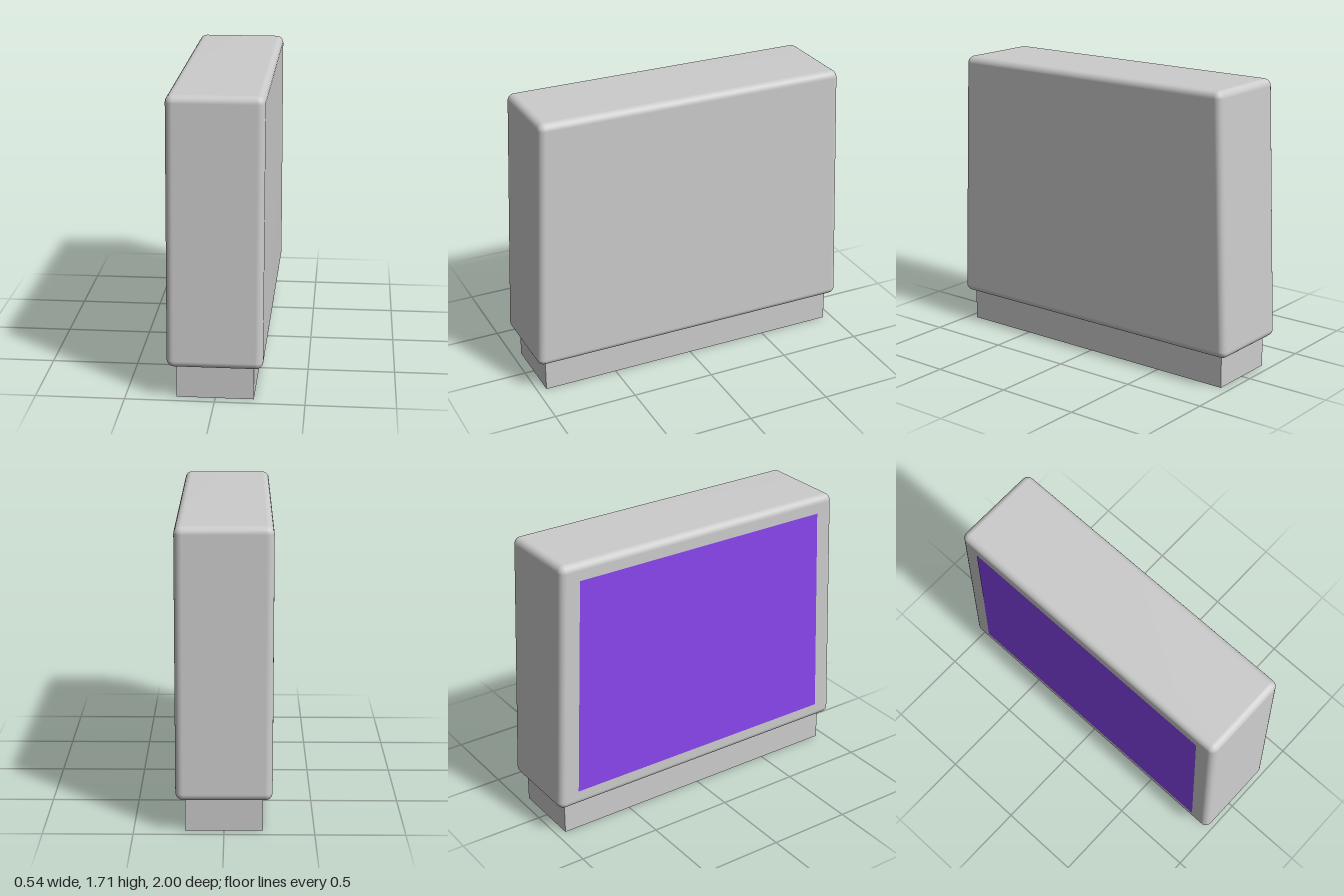
import * as THREE from 'three';
import { RoundedBoxGeometry } from 'three/addons/geometries/RoundedBoxGeometry.js';
import { mergeVertices } from 'three/addons/utils/BufferGeometryUtils.js';

const BOTTOM = 0.19, TOP = 1.705, HALF_X = 0.267;

// Rounded block that narrows in z towards the top
function taperedBlock() {
  let geo = new RoundedBoxGeometry(HALF_X * 2, TOP - BOTTOM, 2, 4, 0.042);
  geo.translate(0, (TOP + BOTTOM) / 2, 0);
  const p = geo.attributes.position;
  for (let i = 0; i < p.count; i++) {
    const t = (p.getY(i) - BOTTOM) / (TOP - BOTTOM);
    p.setZ(i, p.getZ(i) * (1 - 0.067 * t));
  }
  geo.deleteAttribute('normal');
  geo.deleteAttribute('uv');
  geo = mergeVertices(geo, 1e-4);
  geo.computeVertexNormals();
  return geo;
}

export function createModel() {
  const group = new THREE.Group();
  const grey = new THREE.MeshStandardMaterial({ color: 0xcccccc });
  const purple = new THREE.MeshStandardMaterial({ color: 0x8845ed, side: THREE.DoubleSide });

  const add = (name, geometry, material) => {
    const mesh = new THREE.Mesh(geometry, material);
    mesh.name = name;
    group.add(mesh);
    return mesh;
  };

  add('housing', taperedBlock(), grey);

  // Narrower plinth, tucked slightly into the housing
  add('base', new THREE.BoxGeometry(0.43, 0.22, 1.89), grey).position.y = 0.11;

  // Flat trapezoid screen on the -x face
  const outline = new THREE.Shape([
    new THREE.Vector2(-0.877, 0.285), new THREE.Vector2(0.877, 0.285),
    new THREE.Vector2(0.82, 1.605), new THREE.Vector2(-0.82, 1.605),
  ]);
  const screen = add('screen', new THREE.ShapeGeometry(outline), purple);
  screen.rotation.y = -Math.PI / 2;
  screen.position.x = -HALF_X - 0.002;

  return group;
}
